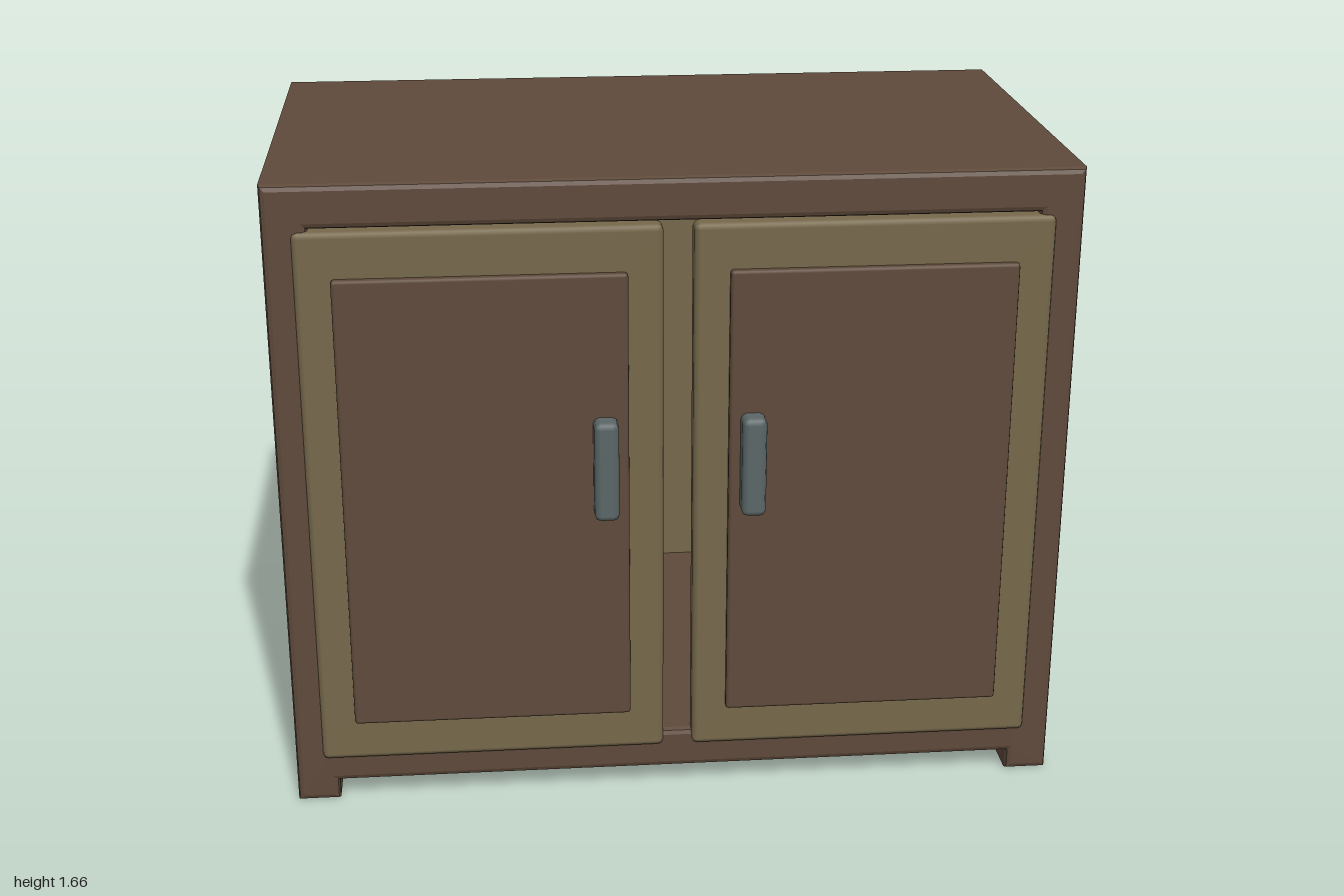
import * as THREE from 'three';
import { RoundedBoxGeometry } from 'three/addons/geometries/RoundedBoxGeometry.js';

export function createModel() {
  const cabinet = new THREE.Group();
  cabinet.name = 'cabinet';

  const material = (name, color) => {
    const m = new THREE.MeshStandardMaterial({ color });
    m.name = name;
    return m;
  };
  const darkWood = material('dark brown wood', 0x5f4a3b);
  const oliveWood = material('olive wood', 0x76684b);
  const metal = material('grey metal', 0x5c6768);

  // Soft-edged box given by its lower and upper corners
  const board = (name, mat, lo, hi, radius, parent) => {
    const size = hi.map((v, i) => v - lo[i]);
    const mesh = new THREE.Mesh(new RoundedBoxGeometry(...size, 1, radius), mat);
    mesh.position.set(...hi.map((v, i) => (v + lo[i]) / 2));
    mesh.name = name;
    parent.add(mesh);
  };

  // Carcass: sides, top, floor and feet as one bevelled frame
  const outline = new THREE.Shape([
    [-1, 0], [-0.89, 0], [-0.89, 0.055], [0.89, 0.055],
    [0.89, 0], [1, 0], [1, 1.665], [-1, 1.665],
  ].map(([x, y]) => new THREE.Vector2(x, y)));
  outline.holes.push(new THREE.Path([
    [-0.89, 0.165], [-0.89, 1.555], [0.89, 1.555], [0.89, 0.165],
  ].map(([x, y]) => new THREE.Vector2(x, y))));
  const bevel = 0.015;
  const carcass = new THREE.Mesh(new THREE.ExtrudeGeometry(outline, {
    depth: 1.165 - 2 * bevel,
    bevelThickness: bevel,
    bevelSize: bevel,
    bevelOffset: -bevel,
    bevelSegments: 2,
  }), darkWood);
  carcass.position.z = -0.625 + bevel;
  carcass.name = 'carcass';
  cabinet.add(carcass);

  // Back panel, a little short of the top board
  board('backPanel', oliveWood, [-0.905, 0.13, -0.623], [0.905, 1.535, -0.575], 0.015, cabinet);

  // Mirrored doors with raised panels and handles
  for (const side of [-1, 1]) {
    const door = new THREE.Group();
    door.name = side > 0 ? 'leftDoor' : 'rightDoor';
    const part = (name, mat, x0, x1, y0, y1, z0, z1, radius) => {
      const xs = [side * x0, side * x1].sort((a, b) => a - b);
      board(name, mat, [xs[0], y0, z0], [xs[1], y1, z1], radius, door);
    };
    part('doorFrame', oliveWood, 0.037, 0.93, 0.125, 1.55, 0.49, 0.552, 0.015);
    part('doorPanel', darkWood, 0.125, 0.84, 0.237, 1.435, 0.535, 0.572, 0.008);
    part('handle', metal, 0.153, 0.215, 0.805, 1.067, 0.555, 0.625, 0.016);
    cabinet.add(door);
  }
  return cabinet;
}
